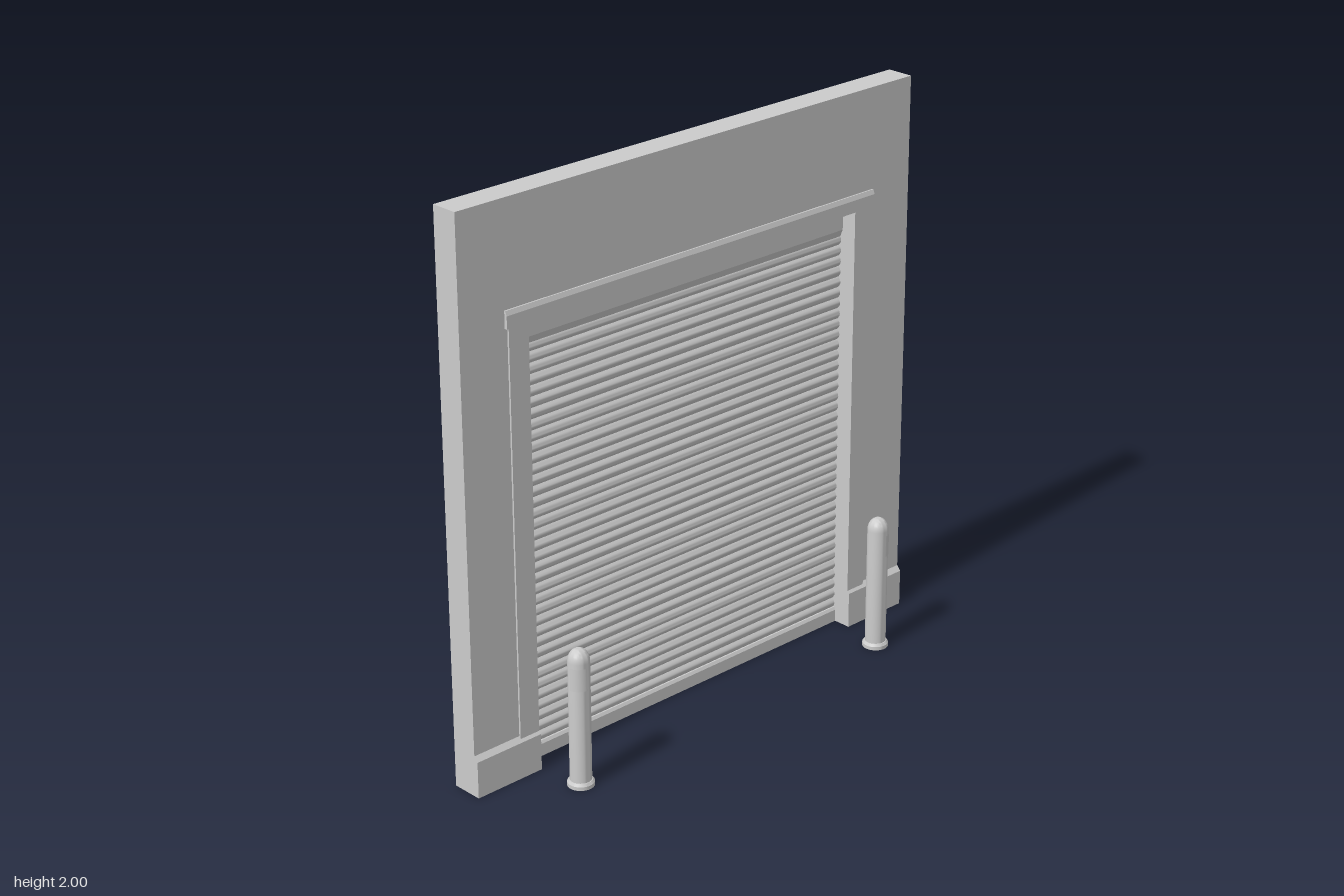
import * as THREE from 'three';
import { toCreasedNormals } from 'three/addons/utils/BufferGeometryUtils.js';

const material = new THREE.MeshStandardMaterial({ color: 0xcccccc });

function add(parent, name, geometry) {
  const mesh = new THREE.Mesh(geometry, material);
  mesh.name = name;
  parent.add(mesh);
  return mesh;
}

// Sweep a (z, y) cross-section along x from x0 to x1
function sweepX(profile, x0, x1) {
  const shape = new THREE.Shape(profile.map(([z, y]) => new THREE.Vector2(z, y)));
  const geometry = new THREE.ExtrudeGeometry(shape, { depth: x1 - x0, bevelEnabled: false });
  geometry.rotateY(-Math.PI / 2);
  geometry.translate(x1, 0, 0);
  return geometry;
}

function box(x0, x1, y0, y1, z0, z1) {
  const geometry = new THREE.BoxGeometry(x1 - x0, y1 - y0, z1 - z0);
  return geometry.translate((x0 + x1) / 2, (y0 + y1) / 2, (z0 + z1) / 2);
}

function createBollard(side) {
  const bollard = new THREE.Group();
  bollard.name = side > 0 ? 'leftBollard' : 'rightBollard';
  const r = 0.037;
  // Post with a domed cap
  const profile = [[0, 0], [r, 0], [r, 0.455]];
  for (let i = 1; i <= 8; i++) {
    const a = (i / 8) * Math.PI / 2;
    profile.push([i === 8 ? 0 : r * Math.cos(a), 0.455 + 0.045 * Math.sin(a)]);
  }
  const post = new THREE.LatheGeometry(profile.map(p => new THREE.Vector2(...p)), 32);
  add(bollard, 'post', toCreasedNormals(post, 0.6));
  // Stepped floor flange
  const flange = [[0, 0], [0.046, 0], [0.046, 0.013], [0.04, 0.022], [r, 0.022]];
  add(bollard, 'flange', toCreasedNormals(
    new THREE.LatheGeometry(flange.map(p => new THREE.Vector2(...p)), 32), 0.5));
  // Thin plate wrapped round the outer front quarter
  const plate = new THREE.CylinderGeometry(r + 0.002, r + 0.002, 0.08, 12, 1, true,
    side > 0 ? 0 : -Math.PI / 2, Math.PI / 2);
  add(bollard, 'bandPlate', plate).position.y = 0.4;
  bollard.position.set(side * 0.7, 0, 0.12);
  return bollard;
}

export function createModel() {
  const model = new THREE.Group();
  model.name = 'rollerDoorWall';
  const back = -0.155, front = -0.055, half = 0.73, openTop = 1.58;

  // Wall with a door opening
  const wall = new THREE.Shape([
    [-1, 0], [-half, 0], [-half, openTop], [half, openTop], [half, 0], [1, 0], [1, 2], [-1, 2],
  ].map(p => new THREE.Vector2(...p)));
  const wallGeometry = new THREE.ExtrudeGeometry(wall, { depth: front - back, bevelEnabled: false });
  add(model, 'wall', wallGeometry.translate(0, 0, back));

  // Plinths and jamb trims on both sides
  for (const side of [-1, 1]) {
    const label = side > 0 ? 'left' : 'right';
    const span = (a, b) => (side > 0 ? [a, b] : [-b, -a]);
    add(model, label + 'Plinth', sweepX(
      [[-0.06, 0], [-0.04, 0], [-0.04, 0.132], [front, 0.15], [-0.06, 0.15]], ...span(half, 1)));
    add(model, label + 'JambTrim', box(...span(half, 0.81), 0, openTop, -0.06, -0.048));
    model.add(createBollard(side));
  }

  // Lintel trim with a sloped top
  add(model, 'lintelTrim', sweepX(
    [[-0.06, 1.578], [-0.044, 1.578], [-0.044, 1.622], [-0.05, 1.638], [-0.06, 1.638]], -0.82, 0.82));

  // Slatted curtain: flat back, rounded slats in front
  const slats = 37, bottom = 0.05, top = 1.48, pitch = (top - bottom) / slats;
  const curtain = [[-0.126, top], [-0.126, bottom]];
  for (let i = 0; i < slats; i++) {
    for (let k = 0; k < 6; k++) {
      const t = k / 6;
      curtain.push([-0.122 + 0.011 * Math.sin(Math.PI * t), bottom + (i + t) * pitch]);
    }
  }
  curtain.push([-0.122, top]);
  add(model, 'slatCurtain', toCreasedNormals(sweepX(curtain, -half, half), 0.8));

  // Bottom bar
  add(model, 'bottomBar', sweepX(
    [[-0.126, 0], [-0.106, 0], [-0.106, 0.045], [-0.112, 0.055], [-0.126, 0.055]], -half, half));

  // Coil housing, standing proud of the back of the wall
  add(model, 'coilHousing', sweepX(
    [[-0.166, 1.47], [-0.12, 1.465], [-0.105, 1.5], [-0.105, 1.625], [-0.166, 1.625]], -half, half));

  return model;
}
